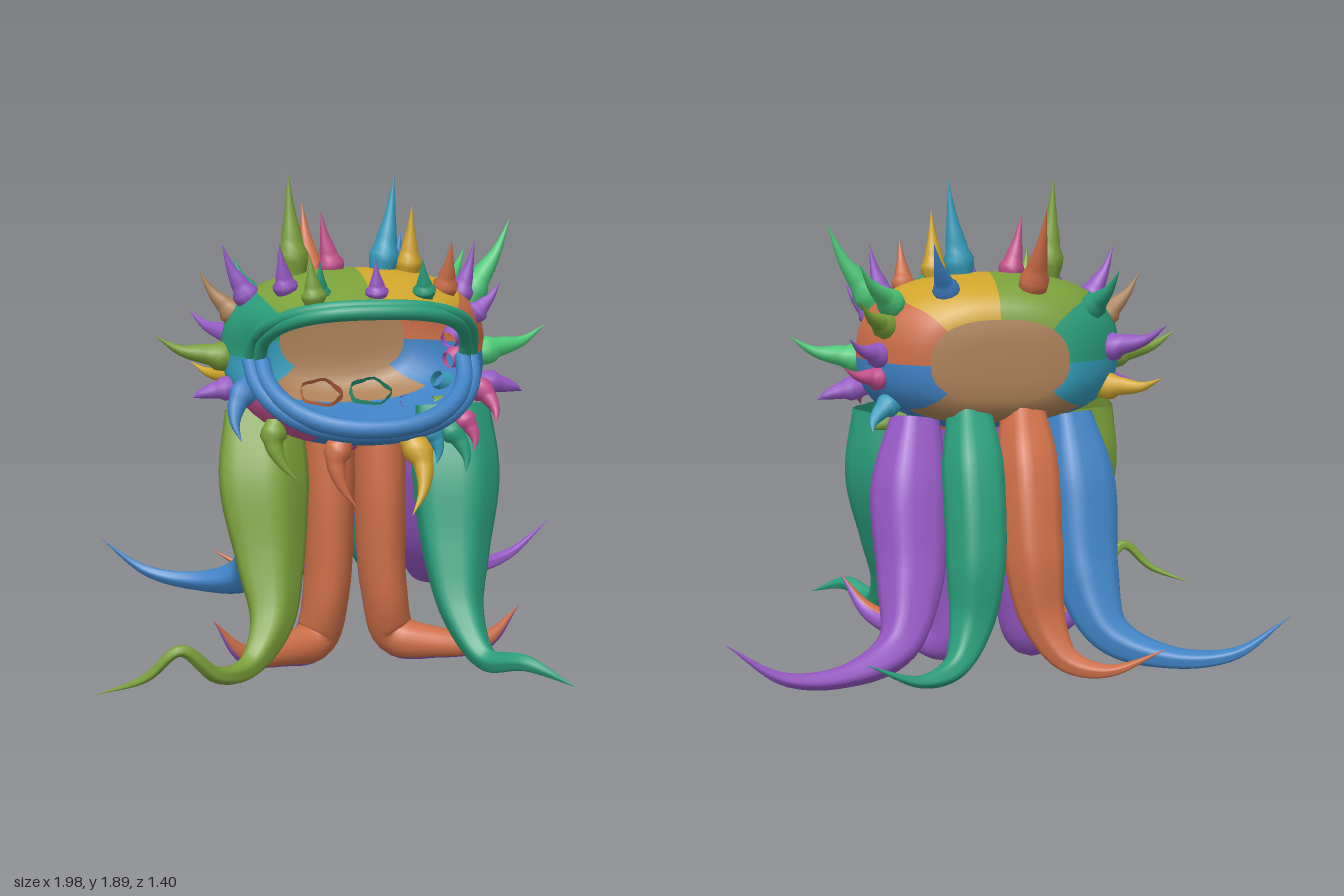
import * as THREE from 'three';

const palette = {
  teal: 0x2a9d7a, olive: 0x7ba03a, blue: 0x3f82c4, orange: 0xcc6e48, purple: 0x9558c4,
  yellow: 0xd0a52c, tan: 0xac8157, pink: 0xc44f8c, cyan: 0x359dbc, lightGreen: 0x4cc878,
};

export function createModel() {
  const root = new THREE.Group();
  const mats = {};
  for (const [name, color] of Object.entries(palette)) {
    mats[name] = new THREE.MeshStandardMaterial({ color, side: THREE.DoubleSide });
    mats[name].name = name;
  }
  const V = (x, y, z) => new THREE.Vector3(x, y, z);

  // Joins closed loops of points into a smooth skin; colourOf(row, segment) names each patch colour.
  function skin(name, rows, colourOf) {
    const n = rows[0].length, faces = {};
    for (let i = 0; i < rows.length - 1; i++) {
      for (let j = 0; j < n; j++) {
        const k = (j + 1) % n, a = i * n + j, b = i * n + k;
        (faces[colourOf(i, j)] ??= []).push(a, b, a + n, b, b + n, a + n);
      }
    }
    const geo = new THREE.BufferGeometry().setFromPoints(rows.flat());
    const index = [], used = Object.keys(faces);
    used.forEach((c, m) => {
      geo.addGroup(index.length, faces[c].length, m);
      index.push(...faces[c]);
    });
    geo.setIndex(index);
    geo.computeVertexNormals();
    const mesh = new THREE.Mesh(geo, used.map((c) => mats[c]));
    mesh.name = name;
    root.add(mesh);
  }

  // Sweeps a tapering, optionally fluted ellipse along a smooth path.
  function sweep(name, points, radii, colourOf, { steps = 40, sides = 20, flute = 0 } = {}) {
    const path = new THREE.CatmullRomCurve3(points.map((p) => V(...p)));
    const size = new THREE.CatmullRomCurve3(radii.map(([a, b = a]) => V(a, b, 0)));
    const rows = [];
    let N = null;
    for (let i = 0; i <= steps; i++) {
      const t = i / steps, p = path.getPoint(t), T = path.getTangent(t), s = size.getPoint(t);
      N ??= Math.abs(T.x) > 0.85 ? V(0, 1, 0) : V(1, 0, 0);
      N.addScaledVector(T, -N.dot(T)).normalize();
      const B = T.clone().cross(N);
      rows.push(Array.from({ length: sides }, (_, j) => {
        const a = (j / sides) * Math.PI * 2, f = 1 + flute * Math.cos(5 * a);
        return p.clone()
          .addScaledVector(N, Math.cos(a) * f * Math.max(s.x, 0.001))
          .addScaledVector(B, Math.sin(a) * f * Math.max(s.y, 0.001));
      }));
    }
    skin(name, rows, colourOf);
  }

  // Head: back cap, full middle ring, then a blend to the wide V-shaped mouth rim
  const soft = (v, e = 0.8) => Math.sign(v) * Math.abs(v) ** e;
  const ring = (a, sx, sy, z) => V(0.505 * sx * soft(Math.cos(a)),
    1.22 + (Math.sin(a) > 0 ? 0.31 : 0.26) * sy * soft(Math.sin(a)), z);
  const rim = (a, s = 1, dz = 0) => {
    const sin = Math.sin(a), up = sin > -1e-6;
    return V(0.385 * s * soft(Math.cos(a), up ? 0.75 : 0.9),
      1.21 + (up ? 0.2 : 0.215) * s * soft(sin, up ? 0.75 : 0.9),
      0.2 + dz + 0.3 * Math.abs(sin) ** (up ? 1.35 : 1));
  };
  const segments = 48;
  const loop = (f) => Array.from({ length: segments }, (_, j) => f((j / segments) * Math.PI * 2));
  const backRings = [[0.001, 0.001, -0.3], [0.26, 0.28, -0.3], [0.5, 0.52, -0.295], [0.59, 0.67, -0.28],
    [0.71, 0.81, -0.245], [0.84, 0.9, -0.18], [0.94, 0.97, -0.1], [1, 1, -0.01]];
  const headRows = backRings.map(([sx, sy, z]) => loop((a) => ring(a, sx, sy, z)));
  for (let k = 1; k <= 8; k++) {
    const t = k / 8;
    headRows.push(loop((a) => {
      const p = ring(a, 1, 1, -0.01), q = rim(a), z = THREE.MathUtils.lerp(p.z, q.z, t);
      const chin = 0.075 * Math.sin(Math.PI * t) * Math.max(0, -Math.sin(a));
      p.lerp(q, t * t);
      return p.set(p.x, p.y - chin, z);
    }));
  }
  const sectors = ['orange', 'yellow', 'olive', 'teal', 'cyan', 'blue', 'blue', 'blue'];
  skin('head', headRows, (i, j) => {
    const underside = j >= 30 && j < 42;
    if (i < (underside ? 5 : 2)) return 'tan';
    if (i >= 8 && j === 26) return 'purple';
    if (i >= 8 && j > 26 && j < 33) return 'pink';
    return sectors[Math.floor(j / 6)];
  });

  // Lips: two ropes above and two below, the outer one set slightly back
  for (const [name, start, colour, r, ropes] of [
    ['upperLip', 0, 'teal', 0.024, [[0.99, 0.01], [1.07, -0.015]]],
    ['lowerLip', Math.PI, 'blue', 0.031, [[0.97, 0.01], [1.07, -0.02]]]]) {
    for (const [s, dz] of ropes) {
      const pts = Array.from({ length: 13 }, (_, i) => rim(start + (i / 12) * Math.PI, s, dz).toArray());
      sweep(name, pts, [[r], [r * 1.1], [r]], () => colour, { sides: 10 });
    }
  }

  // Central legs, orange in front and purple behind
  for (const m of [1, -1]) {
    const pts = [[0.1, 0.945, 0], [0.1, 0.6, 0], [0.115, 0.27, 0.02], [0.16, 0.09, 0.03],
      [0.3, 0.085, 0.15], [0.46, 0.13, 0.28], [0.57, 0.28, 0.34]];
    sweep('leg', pts.map(([x, y, z]) => [m * x, y, z]),
      [[0.1, 0.12], [0.098, 0.155], [0.09, 0.14], [0.085, 0.1], [0.06, 0.06], [0.035, 0.035], [0, 0]],
      (i, j) => (j < 10 ? 'orange' : 'purple'));
  }

  // Mirrored outer tentacles, with separate colours for left and right
  const sidePath = [[0.29, 1.0, -0.11], [0.32, 0.72, -0.18], [0.33, 0.42, -0.29], [0.39, 0.23, -0.42],
    [0.58, 0.17, -0.54], [0.8, 0.2, -0.62], [0.99, 0.34, -0.65]];
  const backPath = [[0.1, 1.03, -0.2], [0.1, 0.82, -0.32], [0.105, 0.53, -0.42], [0.13, 0.32, -0.47],
    [0.2, 0.19, -0.56], [0.33, 0.17, -0.64], [0.52, 0.26, -0.7]];
  const sideSize = [[0.09, 0.08], [0.14, 0.13], [0.12, 0.115], [0.075, 0.075], [0.04, 0.04], [0.022, 0.022], [0, 0]];
  const backSize = [[0.08, 0.08], [0.11, 0.12], [0.105, 0.11], [0.08, 0.08], [0.045, 0.045], [0.022, 0.022], [0, 0]];
  const flute = { flute: 0.08, steps: 50 };
  for (const [name, path, size, left, right] of [
    ['sideTentacle', sidePath, sideSize, 'purple', 'blue'],
    ['backTentacle', backPath, backSize, 'teal', 'orange']]) {
    sweep(name, path, size, () => left, flute);
    sweep(name, path.map(([x, y, z]) => [-x, y, z]), size, () => right, flute);
  }

  // Front tentacles: each has its own curling tip
  const frontSize = [[0.14, 0.075], [0.165, 0.125], [0.125, 0.1], [0.08, 0.07], [0.042, 0.042], [0.028, 0.028]];
  sweep('frontLeftTentacle', [[0.365, 1.01, 0.07], [0.37, 0.74, 0.12], [0.355, 0.46, 0.21], [0.36, 0.26, 0.31],
    [0.42, 0.12, 0.45], [0.53, 0.15, 0.6], [0.68, 0.09, 0.7]], [...frontSize, [0, 0]], () => 'teal', flute);
  sweep('frontRightTentacle', [[-0.365, 1.01, 0.07], [-0.37, 0.74, 0.12], [-0.355, 0.46, 0.21], [-0.36, 0.26, 0.31],
    [-0.45, 0.13, 0.41], [-0.57, 0.15, 0.54], [-0.7, 0.27, 0.6], [-0.82, 0.17, 0.58], [-0.99, 0.1, 0.53]],
  [...frontSize, [0.02, 0.02], [0.015, 0.015], [0, 0]], () => 'olive', flute);

  // Spikes: base xyz then tip xyz, grouped by colour
  const spikes = {
    olive: [[-0.23, 1.49, 0.03, -0.25, 1.88, 0.02], [-0.44, 1.19, 0.03, -0.75, 1.29, 0.06],
      [-0.33, 1.0, 0.28, -0.26, 0.79, 0.36], [0.38, 1.33, -0.14, 0.5, 1.45, -0.31], [0.32, 0.99, -0.06, 0.46, 0.95, -0.06],
      [-0.2, 1.42, 0.38, -0.22, 1.6, 0.4]],
    pink: [[-0.08, 1.49, 0.02, -0.13, 1.74, 0.03], [0.4, 1.12, 0.22, 0.47, 0.98, 0.34],
      [0.4, 1.15, -0.14, 0.56, 1.21, -0.23], [0.34, 1.01, 0.27, 0.39, 0.88, 0.34],
      [-0.06, 0.93, 0.28, -0.07, 0.86, 0.34]],
    cyan: [[0.1, 1.49, 0.02, 0.15, 1.87, 0.01], [0.35, 1.08, -0.12, 0.46, 0.97, -0.24],
      [0.22, 0.97, 0.28, 0.25, 0.83, 0.33]],
    yellow: [[0.2, 1.49, 0.03, 0.21, 1.76, 0.05], [0.12, 0.97, 0.43, 0.11, 0.71, 0.59],
      [-0.39, 1.1, -0.1, -0.61, 1.15, -0.26]],
    orange: [[-0.13, 1.44, -0.17, -0.16, 1.77, -0.31], [0.3, 1.43, 0.2, 0.31, 1.64, 0.28],
      [-0.11, 0.97, 0.43, -0.07, 0.72, 0.5]],
    blue: [[0.17, 1.44, -0.17, 0.24, 1.65, -0.31], [-0.4, 1.14, 0.2, -0.46, 0.94, 0.35]],
    purple: [[-0.28, 1.44, 0.22, -0.31, 1.63, 0.26], [0.02, 1.44, 0.38, 0.01, 1.58, 0.41],
      [0.38, 1.39, 0.08, 0.44, 1.63, 0.1], [-0.39, 1.39, 0.06, -0.5, 1.62, 0.08],
      [-0.4, 1.24, -0.12, -0.61, 1.35, -0.3], [-0.43, 1.1, 0.07, -0.62, 1.06, 0.08],
      [0.45, 1.1, 0.07, 0.65, 1.05, 0.05], [0.4, 1.23, -0.14, 0.54, 1.32, -0.29],
      [0.42, 1.34, 0.13, 0.53, 1.48, 0.14]],
    teal: [[-0.18, 1.44, 0.33, -0.18, 1.57, 0.38], [0.2, 1.44, 0.34, 0.18, 1.58, 0.39],
      [0.28, 0.98, 0.26, 0.36, 0.8, 0.34], [-0.35, 1.38, -0.13, -0.43, 1.55, -0.3]],
    tan: [[-0.43, 1.33, 0, -0.58, 1.52, -0.01]],
    lightGreen: [[0.41, 1.38, 0.05, 0.6, 1.71, 0.01], [0.44, 1.19, 0.05, 0.75, 1.3, 0],
      [0.35, 1.4, -0.12, 0.5, 1.58, -0.31]],
  };
  for (const [colour, list] of Object.entries(spikes)) {
    for (const s of list) {
      const base = V(s[0], s[1], s[2]), tip = V(s[3], s[4], s[5]);
      const length = base.distanceTo(tip), r = 0.022 + 0.055 * length;
      // Hanging spikes bow outward, rising ones sag a little
      const bow = tip.y < base.y ? Math.sign(base.x) * 0.18 : 0;
      const at = (t, bend) => base.clone().lerp(tip, t)
        .add(V(bow * Math.sin(Math.PI * t), bow ? 0 : -bend, 0).multiplyScalar(length)).toArray();
      sweep('spike', [at(0, 0), at(0.35, 0.03), at(0.7, 0.08), at(1, 0)],
        [[r], [r], [r * 0.5], [0]], () => colour, { steps: 12, sides: 10 });
    }
  }
  return root;
}
